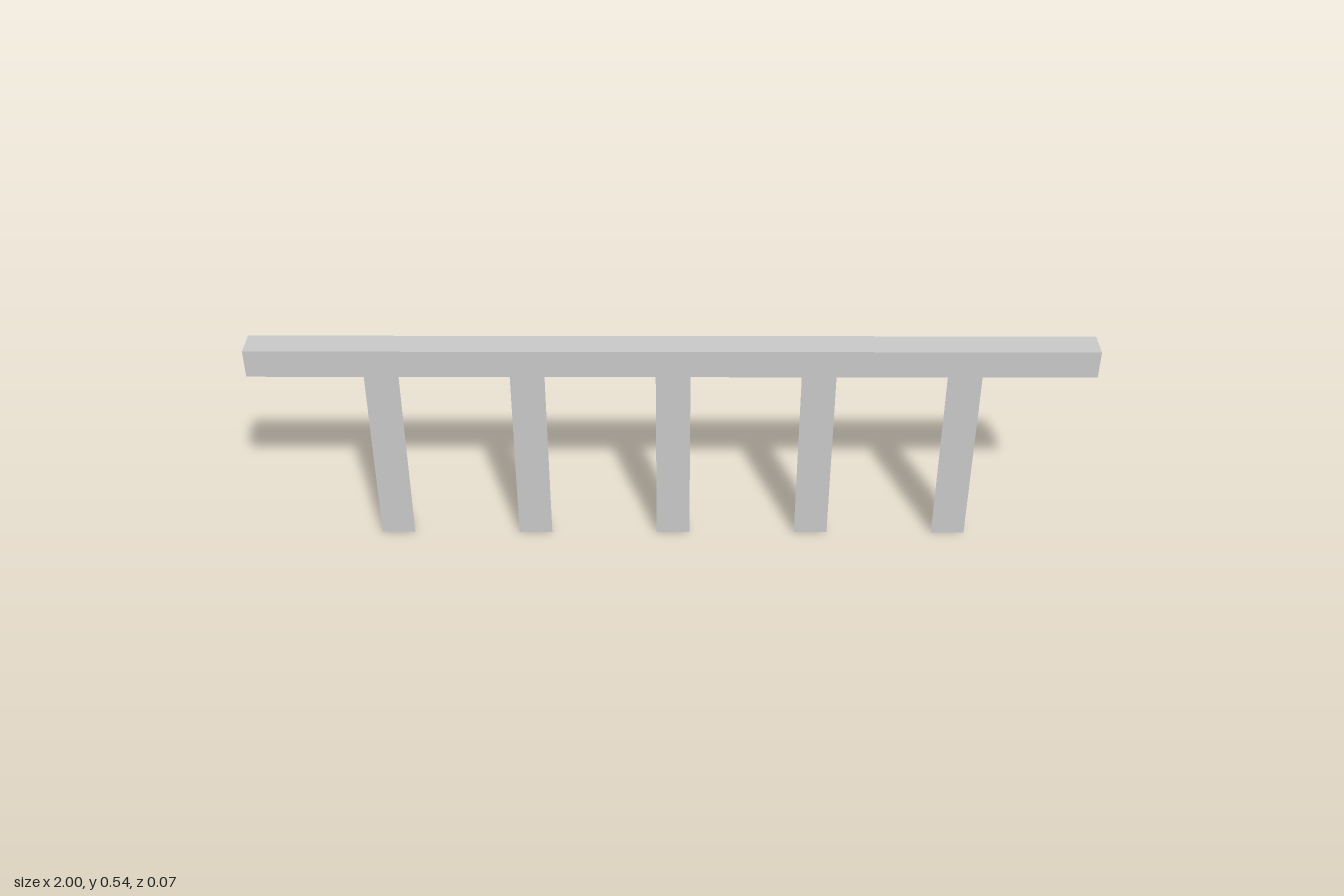
import * as THREE from 'three';

export function createModel() {
  const group = new THREE.Group();
  const material = new THREE.MeshStandardMaterial({ color: 0xcccccc, flatShading: true });

  const railBottom = 0.472, railSize = 0.07;

  // Long square top rail
  const rail = new THREE.Mesh(new THREE.BoxGeometry(2, railSize, railSize), material);
  rail.name = 'topRail';
  rail.position.y = railBottom + railSize / 2;
  group.add(rail);

  // Triangular posts: flat face to the front, ridge to the back
  const section = new THREE.Shape([
    new THREE.Vector2(-0.041, -0.025),
    new THREE.Vector2(0.041, -0.025),
    new THREE.Vector2(0, 0.022),
  ]);
  const postGeometry = new THREE.ExtrudeGeometry(section, { depth: railBottom, bevelEnabled: false });
  postGeometry.rotateX(-Math.PI / 2); // extrusion points up, section y becomes -z

  const posts = new THREE.Group();
  posts.name = 'posts';
  for (let i = -2; i <= 2; i++) {
    const post = new THREE.Mesh(postGeometry, material);
    post.name = `post${i + 3}`;
    post.position.x = 0.003 + i * 0.344;
    posts.add(post);
  }
  group.add(posts);

  return group;
}
